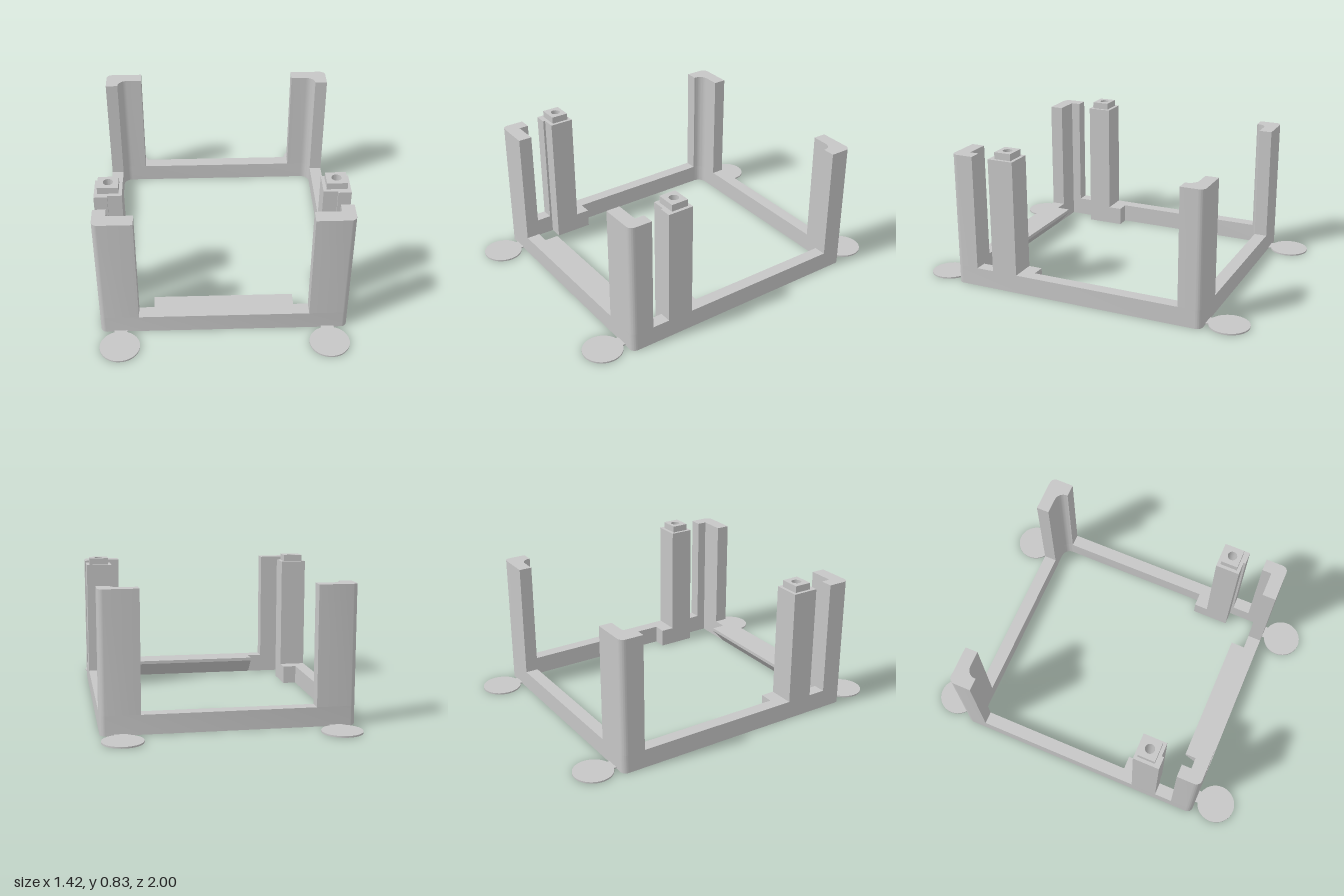
import * as THREE from 'three';
import { toCreasedNormals } from 'three/addons/utils/BufferGeometryUtils.js';

const grey = new THREE.MeshStandardMaterial({ color: 0xc6c6c6 });
grey.name = 'plain grey';

// Traces [x, z, radius] corners in plan; corners with a radius are rounded.
function trace(path, pts, side = 1) {
  const p = pts.map(([x, z, r = 0]) => ({ v: new THREE.Vector2(x * side, -z), r }));
  p.forEach(({ v, r }, i) => {
    const toward = (q, d) => v.clone().add(q.clone().sub(v).setLength(d));
    const prev = p[(i + p.length - 1) % p.length].v;
    const next = p[(i + 1) % p.length].v;
    const a = r ? toward(prev, r) : v;
    if (i === 0) path.moveTo(a.x, a.y);
    else path.lineTo(a.x, a.y);
    if (r) {
      const c1 = toward(prev, r * 0.448), c2 = toward(next, r * 0.448), b = toward(next, r);
      path.bezierCurveTo(c1.x, c1.y, c2.x, c2.y, b.x, b.y);
    }
  });
  path.closePath();
  return path;
}

// Round hole through a tower; holes run anticlockwise so their walls face inward
function bore(side) {
  return new THREE.Path().absarc(side * 0.63, -0.436, 0.028, 0, Math.PI * 2, false);
}

// Extrudes a plan outline upward from y0 to y1.
function slab(name, pts, y0, y1, side = 1, holes = []) {
  const shape = trace(new THREE.Shape(), pts, side);
  shape.holes.push(...holes);
  const geo = new THREE.ExtrudeGeometry(shape, { depth: y1 - y0, bevelEnabled: false, curveSegments: 10 });
  geo.rotateX(-Math.PI / 2).translate(0, y0, 0);
  const mesh = new THREE.Mesh(toCreasedNormals(geo, 0.6), grey);
  mesh.name = name;
  return mesh;
}

export function createModel() {
  const model = new THREE.Group();
  model.name = 'standFrame';
  const X = 0.707, Z = 0.763, R = 0.035;
  const xi = 0.633, zBack = -0.687, zFront = 0.683;
  const railTop = 0.11, postTop = 0.79;

  // Base frame; the opening steps in around the two tower feet
  const opening = trace(new THREE.Path(), [
    [-xi, 0.285], [-0.553, 0.285], [-0.553, 0.509], [-xi, 0.509], [-xi, zFront],
    [xi, zFront], [xi, 0.509], [0.553, 0.509], [0.553, 0.285], [xi, 0.285],
    [xi, zBack, 0.055], [-xi, zBack, 0.055],
  ]);
  model.add(slab('baseFrame',
    [[-X, -Z, R], [X, -Z, R], [X, Z, R], [-X, Z, R]],
    0, railTop, 1, [opening, bore(1), bore(-1)]));

  // Front ledge with a sloping underside
  const wedge = new THREE.Shape([[-zFront, 0], [-zFront, railTop], [-0.6, railTop], [-0.6, 0.09]]
    .map(([a, b]) => new THREE.Vector2(a, b)));
  const ledgeGeo = new THREE.ExtrudeGeometry(wedge, { depth: 0.8, bevelEnabled: false });
  ledgeGeo.translate(0, 0, -0.4).rotateY(Math.PI / 2);
  const ledge = new THREE.Mesh(ledgeGeo, grey);
  ledge.name = 'frontLedge';
  model.add(ledge);

  for (const s of [1, -1]) {
    const label = s > 0 ? 'left' : 'right';

    // L-shaped corner posts
    model.add(slab(label + 'BackPost', [
      [X, -Z, R], [X, -0.627], [xi, -0.627], [xi, zBack, 0.055], [0.485, zBack], [0.485, -Z],
    ], railTop, postTop, s));
    model.add(slab(label + 'FrontPost', [
      [X, Z, R], [X, 0.627], [xi, 0.627], [xi, zFront], [0.485, zFront], [0.485, Z],
    ], railTop, postTop, s));

    // Bored tower and its square cap
    model.add(slab(label + 'Tower', [
      [X, 0.367], [X, 0.522], [xi, 0.522], [xi, 0.509], [0.553, 0.509], [0.553, 0.367],
    ], railTop, postTop, s, [bore(s)]));
    model.add(slab(label + 'TowerCap', [
      [0.688, 0.387], [0.688, 0.489], [0.572, 0.489], [0.572, 0.387],
    ], postTop, 0.83, s, [bore(s)]));

    // Thin round foot pads, each joined to the frame by a short tab
    for (const f of [1, -1]) {
      const end = f > 0 ? 'Front' : 'Back';
      const pad = new THREE.Mesh(new THREE.CylinderGeometry(0.114, 0.114, 0.009, 48), grey);
      pad.name = label + end + 'Pad';
      pad.position.set(s * 0.594, 0.0045, f * 0.886);
      const tab = new THREE.Mesh(new THREE.BoxGeometry(0.074, 0.008, 0.06), grey);
      tab.name = label + end + 'PadTab';
      tab.position.set(s * 0.594, 0.0045, f * 0.78);
      model.add(pad, tab);
    }
  }
  return model;
}
